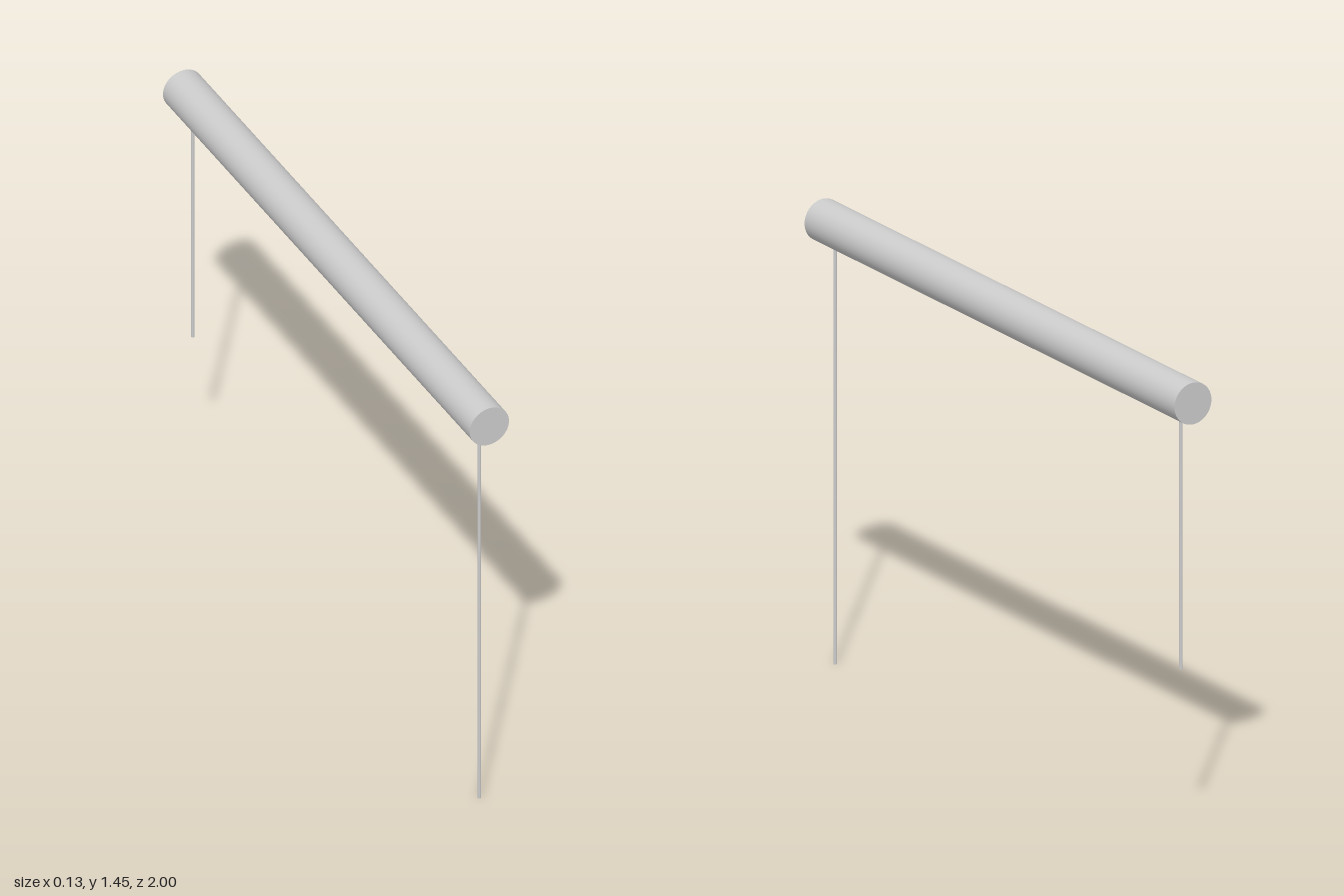
import * as THREE from 'three';

const BAR_RADIUS = 0.066;
const BAR_Y = 1.386;
const ROD_RADIUS = 0.0055;

export function createModel() {
  const model = new THREE.Group();
  model.name = 'hangingBar';
  const material = new THREE.MeshStandardMaterial({ color: 0xcccccc });

  // Thick horizontal bar running front to back
  const bar = new THREE.Mesh(new THREE.CylinderGeometry(BAR_RADIUS, BAR_RADIUS, 2, 48), material);
  bar.name = 'bar';
  bar.rotation.x = Math.PI / 2;
  bar.position.y = BAR_Y;
  model.add(bar);

  // Thin vertical rod, its top end sunk slightly into the bar
  const addRod = (name, z, bottom) => {
    const top = BAR_Y - BAR_RADIUS + 0.01;
    const rod = new THREE.Mesh(
      new THREE.CylinderGeometry(ROD_RADIUS, ROD_RADIUS, top - bottom, 16), material);
    rod.name = name;
    rod.position.set(0, (top + bottom) / 2, z);
    model.add(rod);
  };
  addRod('frontRod', 0.934, 0);
  addRod('backRod', -0.934, 0.527);

  return model;
}
